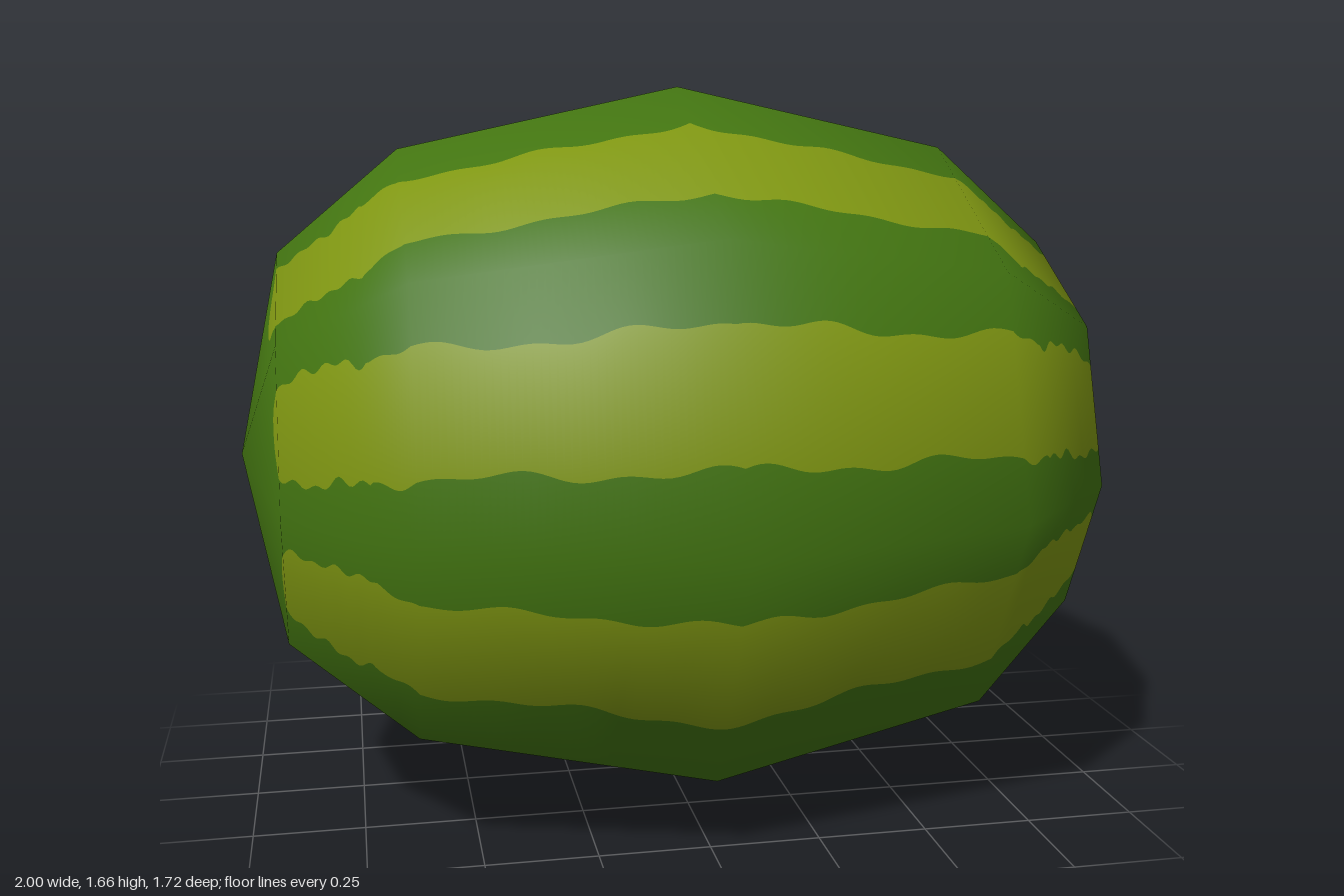
import * as THREE from 'three';

// Eight-sided cross-section at the middle, as [z, y] about the long axis
const SECTION = [
  [0.11, 0.83], [0.655, 0.525], [0.86, -0.09], [0.565, -0.65],
  [-0.085, -0.83], [-0.65, -0.52], [-0.86, 0.09], [-0.56, 0.65],
];
const CENTRE_Y = 0.83;

// Half profile: distance along x, section scale and normal tilt at each ring
const RING_X = [0, 0.63, 0.9, 1];
const RING_SCALE = [1, 0.835, 0.56, 0];
const RING_TILT = [0, 0.47, 1.04, Math.PI / 2];

// How far each stripe runs past the last ring towards the tip
const STRIPE_TIP = [0.21, 0.1, 0.05, 0.1, 0.26, 0.18, 0.18, 0.17];

const lerp = THREE.MathUtils.lerp;

function pick(table, s) {
  const i = Math.min(Math.floor(s), 2);
  return lerp(table[i], table[i + 1], s - i);
}

// Surface point and smooth normal on one facet; u across it, s along the half
function surface(facet, u, s, side) {
  const a = SECTION[facet], b = SECTION[(facet + 1) % 8];
  const z = lerp(a[0], b[0], u), y = lerp(a[1], b[1], u);
  const k = pick(RING_SCALE, s);
  const ringNormal = (i) => {
    const t = RING_TILT[i], c = Math.cos(t);
    const la = Math.hypot(...a), lb = Math.hypot(...b);
    return new THREE.Vector3(
      side * Math.sin(t),
      c * lerp(a[1] / la, b[1] / lb, u),
      c * lerp(a[0] / la, b[0] / lb, u));
  };
  const i = Math.min(Math.floor(s), 2);
  return {
    p: [side * pick(RING_X, s), CENTRE_Y + y * k, z * k],
    n: ringNormal(i).lerp(ringNormal(i + 1), s - i).normalize().toArray(),
  };
}

// Wavy stripe edges on a facet, closing to a rounded, ragged end
function stripeEdges(facet, s) {
  const tip = 2 + STRIPE_TIP[facet];
  const start = 1.82;
  const wave = (seed) => 0.016 * Math.sin(s * 9 + seed * 2.3)
    + 0.012 * Math.sin(s * 21 + seed * 4.1)
    + (s > 1.3 ? 0.018 * Math.sin(s * 37 + seed) : 0);
  const spread = 0.05 * THREE.MathUtils.smoothstep(s, 0.6, 1.8);
  let lo = 0.265 - spread + wave(facet);
  let hi = 0.725 + spread + wave(facet + 9);
  if (s > start) {
    const q = Math.min((s - start) / (tip - start), 1);
    const close = Math.sqrt(1 - q ** 4);
    const mid = 0.5 + 0.06 * Math.sin(facet * 5);
    lo = lerp(mid, lo, close);
    hi = lerp(mid, hi, close);
  }
  return [0, lo, hi, 1];
}

function addQuad(out, corners, side) {
  const [a, b, c, d] = corners;
  const order = side > 0 ? [a, b, c, a, c, d] : [a, c, b, a, d, c];
  for (const v of order) {
    out.p.push(...v.p);
    out.n.push(...v.n);
  }
}

function toMesh(data, material, name) {
  const g = new THREE.BufferGeometry();
  g.setAttribute('position', new THREE.Float32BufferAttribute(data.p, 3));
  g.setAttribute('normal', new THREE.Float32BufferAttribute(data.n, 3));
  const mesh = new THREE.Mesh(g, material);
  mesh.name = name;
  return mesh;
}

export function createModel() {
  const darkGreen = new THREE.MeshStandardMaterial({ color: 0x437511 });
  darkGreen.name = 'dark green rind';
  const lightGreen = new THREE.MeshStandardMaterial({ color: 0x7f9612 });
  lightGreen.name = 'light green stripe';

  const rind = { p: [], n: [] };
  const group = new THREE.Group();
  group.name = 'watermelon';

  for (let facet = 0; facet < 8; facet++) {
    // Sample finely up to the stripe's end, then one step to the tip
    const tip = 2 + STRIPE_TIP[facet];
    const steps = [];
    for (let i = 0; i < 80; i++) steps.push(i / 40);
    for (let i = 0; i <= 16; i++) steps.push(lerp(2, tip, Math.sin((i / 16) * Math.PI / 2)));
    steps.push(3);

    const stripe = { p: [], n: [] };
    for (const side of [1, -1]) {
      for (let j = 0; j < steps.length - 1; j++) {
        const s0 = steps[j], s1 = steps[j + 1];
        const e0 = stripeEdges(facet, s0), e1 = stripeEdges(facet, s1);
        for (let k = 0; k < 3; k++) {
          if (k === 1 && s0 >= tip) continue;
          addQuad(k === 1 ? stripe : rind, [
            surface(facet, e0[k], s0, side),
            surface(facet, e0[k + 1], s0, side),
            surface(facet, e1[k + 1], s1, side),
            surface(facet, e1[k], s1, side),
          ], side);
        }
      }
    }
    group.add(toMesh(stripe, lightGreen, `stripe${facet + 1}`));
  }
  group.add(toMesh(rind, darkGreen, 'rind'));
  return group;
}
